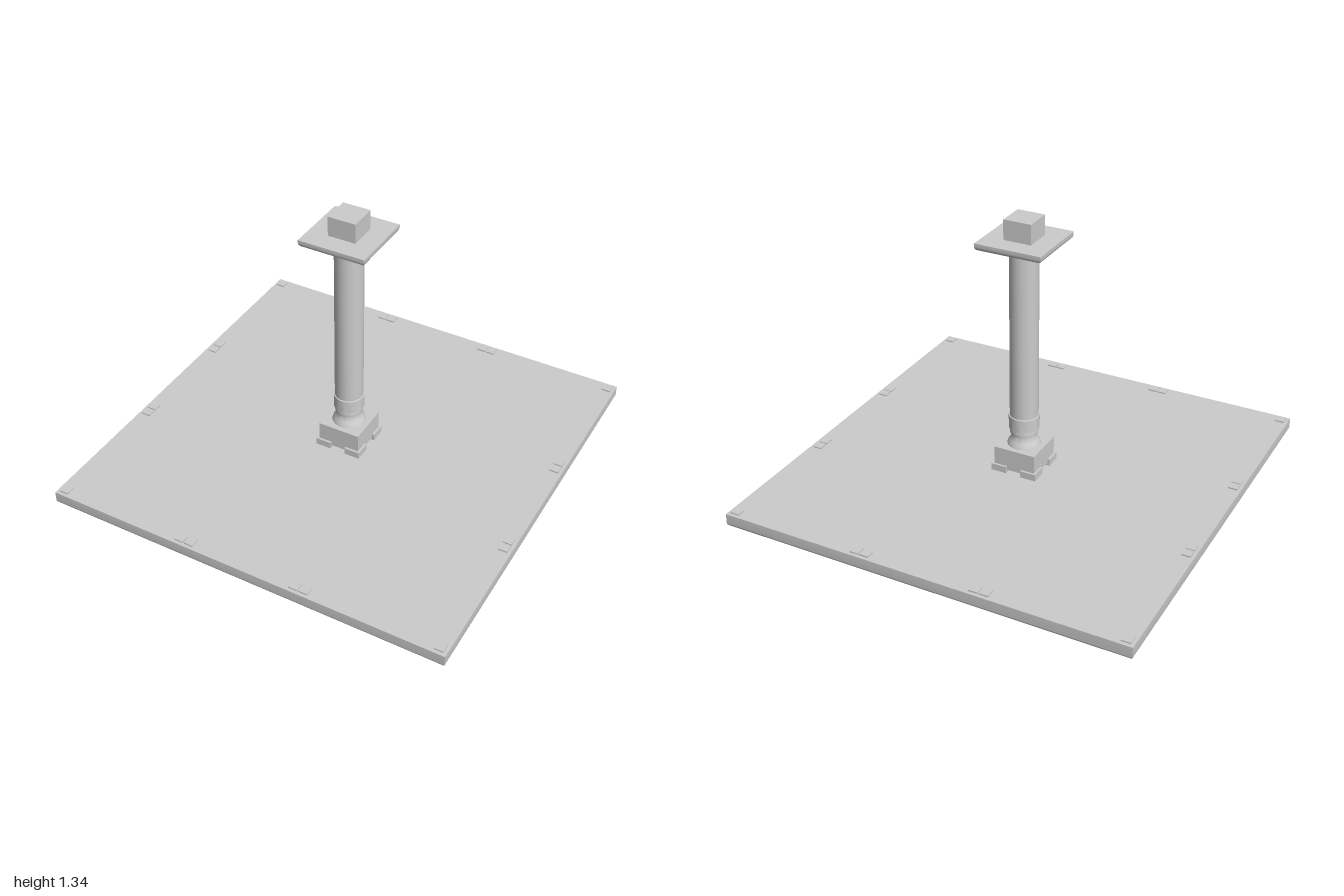
import * as THREE from 'three';
import { toCreasedNormals } from 'three/addons/utils/BufferGeometryUtils.js';

const material = new THREE.MeshStandardMaterial({ color: 0xcccccc });

export function createModel() {
  const model = new THREE.Group();

  const add = (name, geometry, x = 0, y = 0, z = 0, parent = model) => {
    const mesh = new THREE.Mesh(geometry, material);
    mesh.name = name;
    mesh.position.set(x, y, z);
    parent.add(mesh);
    return mesh;
  };
  const group = (name) => {
    const g = new THREE.Group();
    g.name = name;
    model.add(g);
    return g;
  };
  // Box given by half width and its bottom and top heights
  const block = (name, half, y0, y1, x = 0, z = 0, parent = model) =>
    add(name, new THREE.BoxGeometry(half * 2, y1 - y0, half * 2), x, (y0 + y1) / 2, z, parent);

  // Square plate with a rounded lower edge: a four-sided lathe
  const roundedPlate = (half, height, radius) => {
    const profile = [new THREE.Vector2(0, 0)];
    for (let i = 0; i <= 5; i++) {
      const a = (i / 5) * Math.PI / 2;
      profile.push(new THREE.Vector2(
        (half - radius + radius * Math.sin(a)) * Math.SQRT2,
        radius * (1 - Math.cos(a))));
    }
    profile.push(new THREE.Vector2(half * Math.SQRT2, height), new THREE.Vector2(0, height));
    return toCreasedNormals(new THREE.LatheGeometry(profile, 4, Math.PI / 4), 0.5);
  };

  // Base slab
  add('baseSlab', roundedPlate(1, 0.066, 0.018));

  // Low pads: one in each corner, two pairs along each edge
  const pads = group('edgePads');
  const padHalf = 0.022, inset = 0.962;
  for (const sx of [-1, 1]) {
    for (const sz of [-1, 1]) {
      block('cornerPad', padHalf, 0.06, 0.073, sx * inset, sz * inset, pads);
    }
    for (const side of [-1, 1]) {
      for (const offset of [0.27, 0.32]) {
        block('edgePad', padHalf, 0.06, 0.073, side * offset, sx * inset, pads);
        block('edgePad', padHalf, 0.06, 0.073, sx * inset, side * offset, pads);
      }
    }
  }

  // Pedestal block standing on four corner feet
  block('pedestal', 0.105, 0.08, 0.19);
  const feet = group('pedestalFeet');
  for (const sx of [-1, 1]) {
    for (const sz of [-1, 1]) {
      block('pedestalFoot', 0.039, 0.06, 0.1, sx * 0.077, sz * 0.077, feet);
    }
  }

  // Turned column: flared neck, ring, collar and long shaft
  const points = [
    [0, 0.19], [0.08, 0.19], [0.077, 0.2], [0.068, 0.213], [0.061, 0.227], [0.059, 0.242],
    [0.066, 0.246], [0.068, 0.26], [0.065, 0.275],
    [0.073, 0.277], [0.073, 0.343], [0.068, 0.345], [0.068, 1.205], [0, 1.205],
  ].map(([r, y]) => new THREE.Vector2(r, y));
  add('column', toCreasedNormals(new THREE.LatheGeometry(points, 40), 0.6));

  // Capital plate and the square block on top
  add('capitalPlate', roundedPlate(0.163, 0.037, 0.022), 0, 1.202, 0);
  block('topBlock', 0.068, 1.235, 1.335);

  return model;
}
